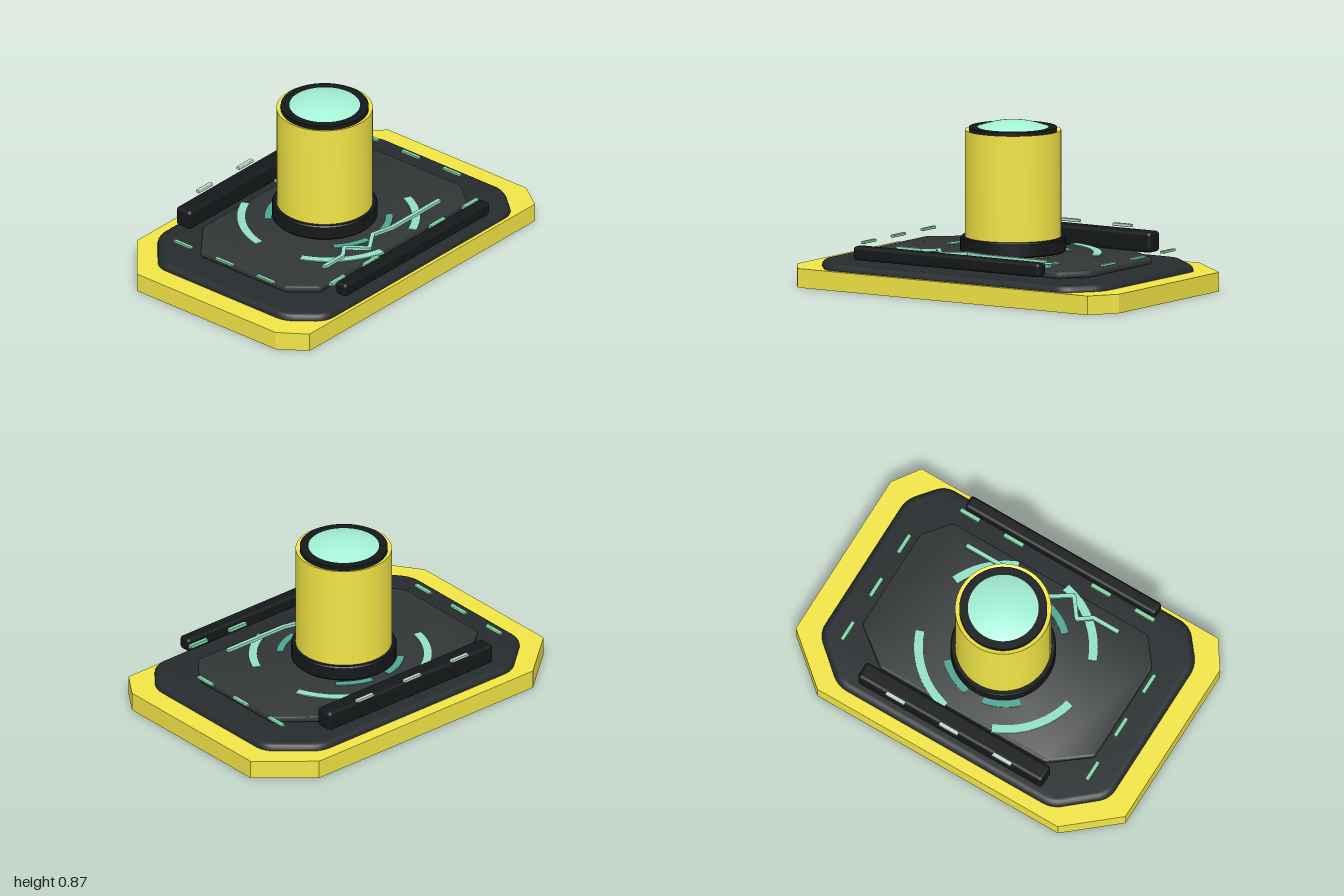
import * as THREE from 'three';
import { toCreasedNormals } from 'three/addons/utils/BufferGeometryUtils.js';
import { RoundedBoxGeometry } from 'three/addons/geometries/RoundedBoxGeometry.js';

const mat = (color) => new THREE.MeshStandardMaterial({ color });

export function createModel() {
  const group = new THREE.Group();
  const yellow = mat(0xf2e546), plateDark = mat(0x262b2d), panelDark = mat(0x323636), black = mat(0x15181a);
  const mint = mat(0x93e0c6), teal = mat(0x4fa592), green = mat(0x7fd8a2), pale = mat(0xc0dccd), glass = mat(0xa5f3d6);

  const add = (name, geometry, material, x = 0, y = 0, z = 0) => {
    const mesh = new THREE.Mesh(geometry, material);
    mesh.name = name;
    mesh.position.set(x, y, z);
    group.add(mesh);
    return mesh;
  };

  // Extrudes a plan shape (drawn with y = -z) upwards from y0 to y1
  const slab = (shape, y0, y1, bevel = 0) => {
    const g = new THREE.ExtrudeGeometry(shape, {
      depth: y1 - y0 - 2 * bevel, bevelEnabled: bevel > 0, bevelSize: bevel,
      bevelThickness: bevel, bevelOffset: -bevel, bevelSegments: 4, curveSegments: 16,
    });
    g.rotateX(-Math.PI / 2);
    g.translate(0, y0 + bevel, 0);
    return bevel ? toCreasedNormals(g, 0.6) : g;
  };

  // Mirrored octagon from its right half, back to front, with optional corner rounding
  const octagon = (half, round = 0) => {
    const pts = [...half, ...half.map(([x, z]) => [-x, z]).reverse()]
      .map(([x, z]) => new THREE.Vector2(x, -z)).reverse();
    const shape = new THREE.Shape();
    pts.forEach((p, i) => {
      const prev = pts[(i + pts.length - 1) % pts.length], next = pts[(i + 1) % pts.length];
      const a = p.clone().add(prev.clone().sub(p).setLength(round));
      const b = p.clone().add(next.clone().sub(p).setLength(round));
      if (i) shape.lineTo(a.x, a.y); else shape.moveTo(a.x, a.y);
      if (round) shape.quadraticCurveTo(p.x, p.y, b.x, b.y);
    });
    shape.closePath();
    return shape;
  };

  // Stacked octagonal plates
  add('basePlate', slab(octagon([[0.73, -0.66], [1, -0.43], [1, 0.515], [0.9, 0.66]]), 0, 0.1), yellow);
  add('deckPlate', slab(octagon([[0.65, -0.59], [0.88, -0.39], [0.88, 0.47], [0.74, 0.64]], 0.06), 0.03, 0.135, 0.033), plateDark);
  add('innerPanel', slab(octagon([[0.5, -0.41], [0.705, -0.25], [0.705, 0.325], [0.59, 0.467]], 0.015), 0.14, 0.176, 0.012), panelDark);

  // Central column with collar, rim and dome
  const cz = -0.005;
  const lathe = (pts) => toCreasedNormals(
    new THREE.LatheGeometry(pts.map(([r, y]) => new THREE.Vector2(r, y)), 64), 0.5);
  add('column', lathe([[0, 0.12], [0.25, 0.12], [0.25, 0.82], [0.228, 0.812], [0, 0.812]]), yellow, 0, 0, cz);
  add('collar', lathe([[0.24, 0.183], [0.268, 0.183], [0.274, 0.19], [0.274, 0.256], [0.268, 0.263], [0.24, 0.263]]), black, 0, 0, cz);
  add('rim', new THREE.CylinderGeometry(0.228, 0.228, 0.025, 64), black, 0, 0.822, cz);
  const dome = [];
  for (let i = 0; i <= 10; i++) {
    const t = i / 10;
    dome.push(new THREE.Vector2(0.185 * (1 - t), 0.834 + 0.036 * (1 - (1 - t) ** 2)));
  }
  add('dome', new THREE.LatheGeometry(dome, 64), glass, 0, 0, cz);

  // Long rounded rails at front and back
  add('backRail', new RoundedBoxGeometry(1.12, 0.108, 0.1, 4, 0.02), black, 0, 0.215, -0.495);
  add('frontRail', new RoundedBoxGeometry(1.155, 0.073, 0.073, 4, 0.018), black, 0, 0.202, 0.595);

  // Small light bars
  const light = (w, h, d) => new RoundedBoxGeometry(w, h, d, 2, 0.004);
  for (const x of [-0.323, 0, 0.323]) add('backLight', light(0.115, 0.016, 0.023), pale, x, 0.28, -0.548);
  for (const s of [-1, 1]) {
    for (const x of [0.265, 0.53]) add('frontLight', light(0.118, 0.02, 0.023), green, s * x, 0.215, 0.535);
    for (const z of [-0.335, -0.053, 0.227]) add('sideLight', light(0.022, 0.014, 0.118), green, s * 0.743, 0.202, z);
  }

  // Flat glowing arcs around the column, angles in degrees from +x towards +z
  const arc = (name, r0, r1, fromDeg, toDeg, material) => {
    const a = -THREE.MathUtils.degToRad(toDeg), b = -THREE.MathUtils.degToRad(fromDeg);
    const shape = new THREE.Shape();
    shape.absarc(0, 0, r1, a, b, false);
    shape.absarc(0, 0, r0, b, a, true);
    add(name, slab(shape, 0.17, 0.181), material, 0, 0, 0.022);
  };
  for (const [from, to] of [[-77, -20], [-168, -112], [102, 158], [23, 67]]) arc('outerArc', 0.431, 0.476, from, to, mint);
  for (const [from, to] of [[-81, -45], [-135, -99], [45, 81], [99, 135]]) arc('innerArc', 0.295, 0.333, from, to, teal);

  // Zigzag pulse line built from short bars
  const pulse = [[-0.46, 0.385], [-0.31, 0.385], [-0.24, 0.333], [-0.16, 0.438], [-0.04, 0.357], [0.08, 0.385], [0.457, 0.385]];
  for (let i = 1; i < pulse.length; i++) {
    const [x0, z0] = pulse[i - 1], [x1, z1] = pulse[i];
    const bar = add('pulseLine', new THREE.BoxGeometry(Math.hypot(x1 - x0, z1 - z0) + 0.006, 0.016, 0.022), mint,
      (x0 + x1) / 2, 0.211, (z0 + z1) / 2);
    bar.rotation.y = -Math.atan2(z1 - z0, x1 - x0);
  }
  return group;
}
